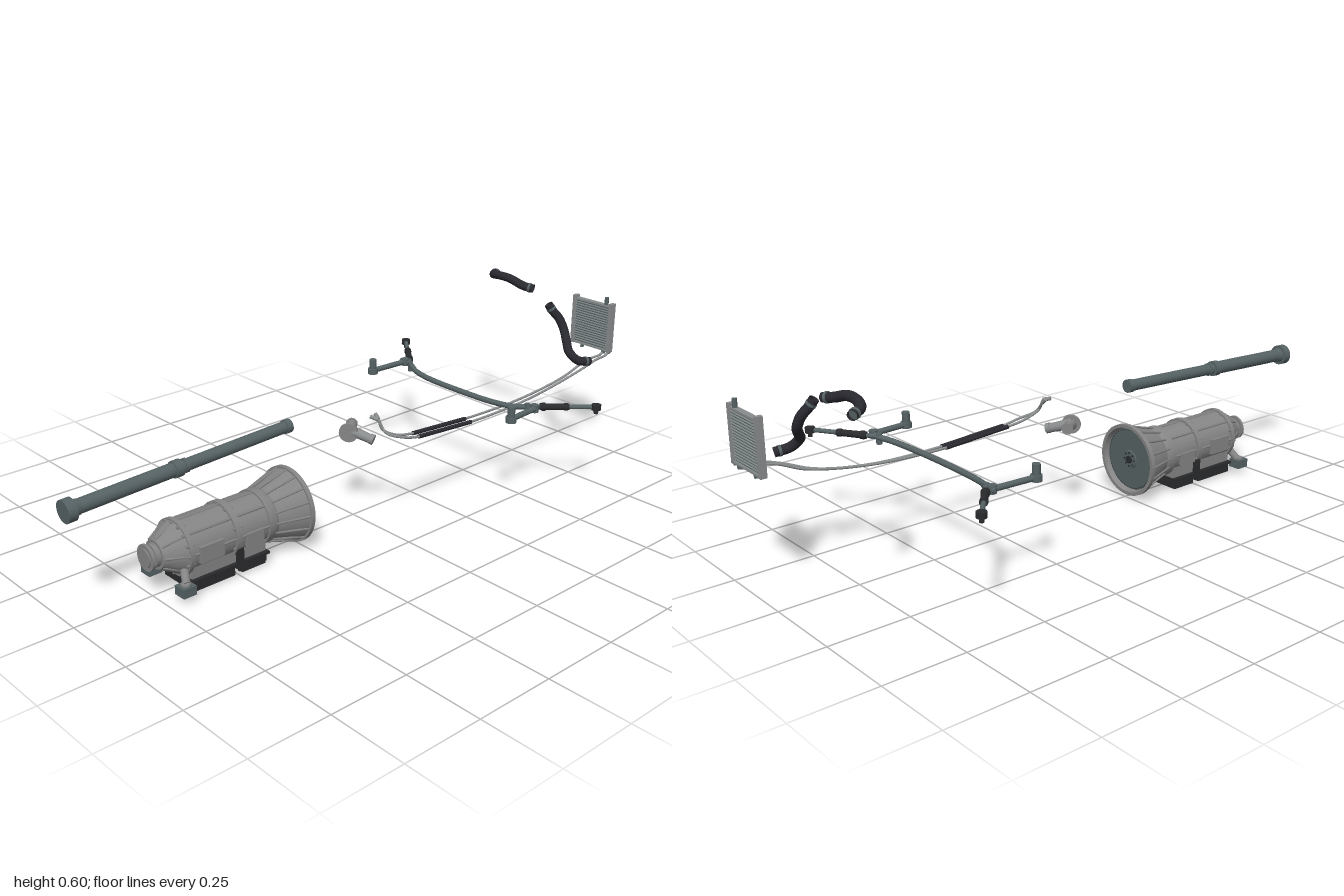
import * as THREE from 'three';
import { toCreasedNormals, mergeGeometries } from 'three/addons/utils/BufferGeometryUtils.js';

const mat = (name, color, double) => {
  const m = new THREE.MeshStandardMaterial({ color });
  m.name = name;
  if (double) m.side = THREE.DoubleSide;
  return m;
};
const V = (p) => new THREE.Vector3(...p);

export function createModel() {
  const model = new THREE.Group();
  const castGrey = mat('cast grey', 0x858585);
  const steel = mat('blue grey steel', 0x566264);
  const pipeGrey = mat('pipe grey', 0x8a8d8e);
  const rubber = mat('black rubber', 0x292930, true);
  const black = mat('black paint', 0x2a2b2d);
  const finGrey = mat('fin grey', 0x8d9494);

  const group = (name) => {
    const g = new THREE.Group();
    g.name = name;
    model.add(g);
    return g;
  };
  const add = (parent, name, geo, material) => {
    const m = new THREE.Mesh(geo, material);
    m.name = name;
    parent.add(m);
    return m;
  };
  // geometry helpers
  const box = (x, y, z, w, h, d) => new THREE.BoxGeometry(w, h, d).translate(x, y, z);
  const rod = (a, b, r1, r2 = r1, seg = 20) => {
    const d = V(b).sub(V(a));
    const g = new THREE.CylinderGeometry(r2, r1, d.length(), seg);
    g.applyQuaternion(new THREE.Quaternion().setFromUnitVectors(new THREE.Vector3(0, 1, 0), d.clone().normalize()));
    return g.translate(...V(a).addScaledVector(d, 0.5).toArray());
  };
  const curve = (pts) => new THREE.CatmullRomCurve3(pts.map(V), false, 'centripetal');
  const tube = (pts, r, seg = 60) => new THREE.TubeGeometry(curve(pts), seg, r, 12);
  const latheX = (pts, y) => toCreasedNormals(
    new THREE.LatheGeometry(pts.map(([x, r]) => new THREE.Vector2(r, x)), 48).rotateZ(-Math.PI / 2).translate(0, y, 0), 0.5);
  const merge = (list) => mergeGeometries(list);

  // ---- gearbox, axis along x
  const gearbox = group('gearbox');
  const cy = 0.125;
  const polar = (x, r, a) => [x, cy + r * Math.sin(a), r * Math.cos(a)];
  add(gearbox, 'gearboxCase', latheX([
    [-0.735, 0], [-0.735, 0.044], [-0.72, 0.05], [-0.7, 0.062], [-0.672, 0.079], [-0.672, 0.085], [-0.658, 0.085],
    [-0.658, 0.079], [-0.515, 0.079], [-0.515, 0.086], [-0.495, 0.086], [-0.495, 0.079], [-0.395, 0.078],
    [-0.395, 0.084], [-0.372, 0.084], [-0.36, 0.08], [-0.268, 0.111], [-0.268, 0.118], [-0.254, 0.118],
    [-0.254, 0.107], [-0.275, 0.1], [-0.275, 0.09]], cy), castGrey);
  add(gearbox, 'flexplate', latheX([[-0.275, 0.103], [-0.27, 0.1], [-0.27, 0.03], [-0.266, 0.028], [-0.266, 0]], cy), steel);
  const ribs = [], bolts = [], teeth = [];
  for (let i = 0; i < 16; i++) {
    const a = (i / 16) * Math.PI * 2;
    ribs.push(rod(polar(-0.372, 0.082, a), polar(-0.265, 0.112, a), 0.003, 0.004, 6));
    if (i % 2 === 0) {
      ribs.push(rod(polar(-0.66, 0.079, a), polar(-0.38, 0.079, a), 0.004, 0.004, 6));
      ribs.push(rod(polar(-0.73, 0.045, a), polar(-0.66, 0.082, a), 0.004, 0.004, 6));
    }
    bolts.push(rod(polar(-0.678, 0.078, a), polar(-0.652, 0.078, a), 0.005, 0.005, 6));
    bolts.push(rod(polar(-0.52, 0.081, a), polar(-0.49, 0.081, a), 0.004, 0.004, 6));
  }
  add(gearbox, 'caseRibs', merge(ribs), castGrey);
  add(gearbox, 'caseBolts', merge(bolts), castGrey);
  for (let i = 0; i < 72; i++) {
    const a = (i / 72) * Math.PI * 2;
    teeth.push(rod(polar(-0.272, 0.097, a), polar(-0.268, 0.097, a), 0.0015, 0.0015, 6));
  }
  for (let i = 0; i < 8; i++) {
    const a = (i / 8) * Math.PI * 2;
    teeth.push(rod(polar(-0.268, 0.022, a), polar(-0.263, 0.022, a), 0.003, 0.003, 8));
  }
  teeth.push(rod([-0.268, cy, 0], [-0.26, cy, 0], 0.012));
  add(gearbox, 'flexplateBolts', merge(teeth), black);
  // output end
  add(gearbox, 'outputFlange', merge([
    rod([-0.75, cy, 0], [-0.73, cy, 0], 0.035), rod([-0.77, cy, 0], [-0.75, cy, 0], 0.028),
    rod([-0.766, cy, 0], [-0.758, cy, 0], 0.04)]), castGrey);
  // oil pans and lower case
  add(gearbox, 'lowerCase', box(-0.53, 0.06, 0, 0.26, 0.04, 0.13), castGrey);
  add(gearbox, 'oilPans', merge([
    box(-0.588, 0.024, 0, 0.145, 0.034, 0.14), box(-0.448, 0.024, 0, 0.085, 0.034, 0.14),
    box(-0.588, 0.005, 0, 0.12, 0.008, 0.1), box(-0.448, 0.005, 0, 0.065, 0.008, 0.1),
    box(-0.53, 0.041, 0, 0.27, 0.008, 0.155)]), black);
  const slots = [];
  for (let i = 0; i < 9; i++) for (const s of [-1, 1]) slots.push(box(-0.65 + i * 0.03, 0.028, s * 0.071, 0.008, 0.022, 0.008));
  add(gearbox, 'panRibs', merge(slots), black);
  // side covers and rear mounts
  for (const s of [-1, 1]) {
    add(gearbox, 'sideCover', merge([
      box(-0.6, 0.12, s * 0.078, 0.08, 0.05, 0.016), box(-0.45, 0.11, s * 0.078, 0.06, 0.04, 0.016)]), castGrey);
    add(gearbox, 'sidePlate', box(-0.5, 0.066, s * 0.075, 0.02, 0.05, 0.014), black);
    add(gearbox, 'rearMount', box(-0.695, 0.035, s * 0.084, 0.044, 0.028, 0.042), steel);
    add(gearbox, 'mountBush', merge([
      rod([-0.695, 0.02, s * 0.084], [-0.695, 0.054, s * 0.084], 0.014),
      rod([-0.69, 0.05, s * 0.08], [-0.675, 0.085, s * 0.05], 0.012)]), castGrey);
  }

  // ---- propeller shaft, slightly inclined
  const shaft = group('propellerShaft');
  const sx = (x) => [x, 0.343 + (x + 1) * 0.0413, 0];
  add(shaft, 'shaftTube', merge([
    rod(sx(-0.97), sx(-0.64), 0.021), rod(sx(-0.655), sx(-0.26), 0.018),
    rod(sx(-0.98), sx(-0.955), 0.026, 0.022)]), steel);
  add(shaft, 'shaftFlange', rod(sx(-0.999), sx(-0.972), 0.033, 0.033, 32), steel);
  add(shaft, 'shaftCollars', merge([
    rod(sx(-0.66), sx(-0.635), 0.025), rod(sx(-0.27), sx(-0.25), 0.021),
    rod(sx(-0.625), sx(-0.615), 0.021)]), steel);

  // ---- coolant outlet housing
  const outlet = group('coolantOutlet');
  add(outlet, 'outletPipe', merge([
    rod([-0.025, 0.3, 0.0], [0.012, 0.276, 0.068], 0.017, 0.014), rod([0.01, 0.278, 0.064], [0.016, 0.274, 0.075], 0.016)]), pipeGrey);
  add(outlet, 'outletFlange', merge([
    rod([-0.035, 0.293, 0.018], [-0.028, 0.293, 0.012], 0.03),
    rod([-0.032, 0.293, 0.016], [0.018, 0.298, -0.024], 0.019, 0.015),
    rod([0.012, 0.298, -0.02], [0.018, 0.298, -0.025], 0.018)]), castGrey);

  // ---- cooler pipes
  const pipes = group('coolerPipes');
  const lines = [
    [[-0.01, 0.362, 0.088], [0, 0.356, 0.11], [0.01, 0.325, 0.118], [0.05, 0.3, 0.13], [0.12, 0.286, 0.137], [0.35, 0.271, 0.139],
      [0.6, 0.276, 0.15], [0.8, 0.307, 0.165], [0.88, 0.338, 0.175], [0.92, 0.346, 0.178], [0.98, 0.35, 0.179], [0.988, 0.365, 0.179]],
    [[0.012, 0.365, 0.085], [0.012, 0.35, 0.1], [0.015, 0.315, 0.13], [0.06, 0.296, 0.155], [0.12, 0.283, 0.162], [0.35, 0.268, 0.164],
      [0.6, 0.272, 0.165], [0.77, 0.298, 0.175], [0.86, 0.33, 0.196], [0.92, 0.347, 0.201], [0.98, 0.354, 0.201], [0.988, 0.37, 0.201]],
  ];
  lines.forEach((pts) => {
    add(pipes, 'coolerPipe', tube(pts, 0.004, 120), pipeGrey);
    add(pipes, 'pipeSleeve', tube(pts.slice(4, 6), 0.0065, 20), rubber);
    const e = pts[pts.length - 1];
    add(pipes, 'pipeFitting', rod([e[0], e[1] - 0.015, e[2]], e, 0.007), steel);
    add(pipes, 'pipeEnd', rod(pts[0], pts[1], 0.006), pipeGrey);
  });

  // ---- steering bar with tie rods
  const bar = group('stabilizerBar');
  add(bar, 'crossBar', tube([
    [0.505, 0.31, -0.31], [0.507, 0.308, -0.27], [0.485, 0.301, -0.22], [0.473, 0.297, -0.15], [0.468, 0.296, 0],
    [0.473, 0.297, 0.15], [0.485, 0.301, 0.22], [0.507, 0.308, 0.27], [0.505, 0.31, 0.3]], 0.009, 80), steel);
  for (const s of [-1, 1]) {
    const ax = s < 0 ? 0.362 : 0.382;
    add(bar, 'idlerArm', rod([0.505, 0.31, s * 0.292], [ax, 0.31, s * 0.3], 0.009), steel);
    add(bar, 'armPost', merge([
      rod([ax, 0.304, s * 0.3], [ax, 0.35, s * 0.3], 0.012), rod([ax, 0.3, s * 0.3], [ax, 0.318, s * 0.3], 0.017)]), steel);
    add(bar, 'barJoint', merge([
      rod([0.503, 0.285, s * 0.262], [0.503, 0.318, s * 0.262], 0.009),
      rod([0.505, 0.298, s * 0.29], [0.505, 0.322, s * 0.29], 0.013)]), steel);
    const p = (t) => [0.507 + 0.133 * t, 0.308 + 0.01 * t, s * (0.268 + 0.157 * t)];
    add(bar, 'tieRod', rod(p(0), p(1), 0.007), steel);
    add(bar, 'tieRodSleeve', merge([
      rod(p(0.15), p(0.6), 0.011, 0.01), rod(p(0.18), p(0.24), 0.013), rod(p(0.52), p(0.58), 0.012)]), black);
    add(bar, 'tieRodEnd', merge([
      rod([0.64, 0.309, s * 0.425], [0.64, 0.326, s * 0.425], 0.015),
      rod([0.64, 0.296, s * 0.425], [0.64, 0.312, s * 0.425], 0.007)]), black);
  }

  // ---- heat exchanger
  const cooler = group('radiator');
  add(cooler, 'radiatorCore', box(0.986, 0.442, 0.1275, 0.01, 0.155, 0.145), steel);
  const fins = [];
  for (let i = 0; i < 19; i++) fins.push(box(0.986, 0.368 + i * 0.0083, 0.1275, 0.016, 0.0035, 0.145));
  add(cooler, 'radiatorFins', merge(fins), finGrey);
  add(cooler, 'radiatorTanks', merge([
    ...[0.052, 0.203].map((z) => box(0.987, 0.445, z, 0.02, 0.17, 0.014)),
    box(0.987, 0.519, 0.1275, 0.018, 0.006, 0.15), box(0.987, 0.365, 0.1275, 0.018, 0.006, 0.15)]), pipeGrey);
  add(cooler, 'radiatorNecks', merge([
    rod([0.987, 0.52, 0.179], [0.987, 0.547, 0.179], 0.007), rod([0.987, 0.35, 0.09], [0.987, 0.368, 0.09], 0.006)]), steel);

  // ---- coolant hoses with clamps at both ends
  const hose = (name, pts) => {
    const g = group(name);
    add(g, 'hose', tube(pts, 0.0145, 64), rubber);
    const c = curve(pts);
    for (const t of [0.06, 0.94]) {
      const q = c.getPointAt(t), d = c.getTangentAt(t).multiplyScalar(0.004);
      add(g, 'hoseClamp', rod(q.clone().sub(d).toArray(), q.clone().add(d).toArray(), 0.016), steel);
    }
  };
  hose('upperHose', [[0.835, 0.565, -0.015], [0.822, 0.571, -0.05], [0.814, 0.586, -0.1], [0.816, 0.587, -0.15],
    [0.83, 0.58, -0.19], [0.87, 0.573, -0.215]]);
  hose('lowerHose', [[0.812, 0.535, 0.073], [0.822, 0.515, 0.082], [0.84, 0.485, 0.1], [0.843, 0.45, 0.12],
    [0.825, 0.42, 0.148], [0.808, 0.395, 0.175], [0.825, 0.368, 0.2], [0.868, 0.358, 0.215]]);

  return model;
}
